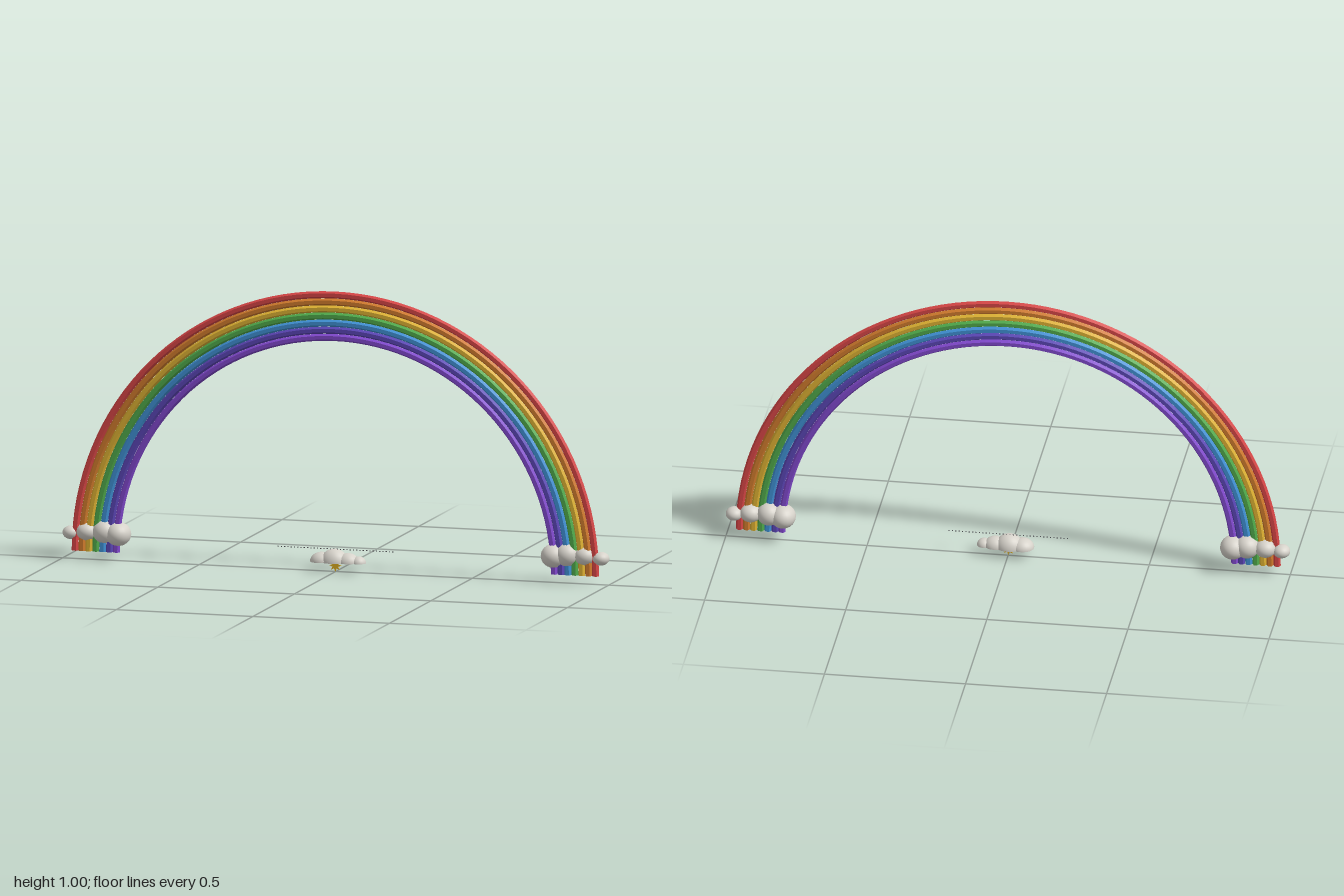
import * as THREE from 'three';

const material = (name, color) => {
  const m = new THREE.MeshStandardMaterial({ color });
  m.name = name;
  return m;
};

export function createModel() {
  const model = new THREE.Group();
  model.name = 'rainbow';

  const bands = [
    ['red', 0xd64545], ['orange', 0xcf7a2c], ['yellow', 0xdcb032], ['green', 0x4fa84a],
    ['blue', 0x3f8fd2], ['indigo', 0x5a45b4], ['violet', 0x8048cc],
  ].map(([name, hex]) => material(name, hex));
  const cloudWhite = material('cloudWhite', 0xd6d2ca);
  const gold = material('gold', 0xd8a820);
  const grey = material('grey', 0x55555a);

  const add = (parent, name, geometry, mat, x = 0, y = 0, z = 0) => {
    const mesh = new THREE.Mesh(geometry, mat);
    mesh.name = name;
    mesh.position.set(x, y, z);
    parent.add(mesh);
    return mesh;
  };

  // Seven hexagonal half hoops, each closed at both feet
  const tube = 0.0125;
  bands.forEach((mat, i) => {
    const radius = 0.953 - i * 0.0252;
    const band = new THREE.Group();
    band.name = mat.name + 'Band';
    const hoop = new THREE.TorusGeometry(radius, tube, 6, 64, Math.PI).toNonIndexed();
    hoop.computeVertexNormals(); // one normal per facet
    add(band, 'hoop', hoop, mat, 0, 0.03, 0.005);
    for (const side of [-1, 1]) {
      const cap = add(band, 'footCap', new THREE.CircleGeometry(tube, 6), mat, side * radius, 0.03, 0.005);
      cap.rotation.x = Math.PI / 2;
    }
    model.add(band);
  });

  // Clouds at the feet: x, y, then radii along x, y, z
  const footPuffs = [
    [0.797, 0.094, 0.045, 0.042, 0.05],
    [0.847, 0.1, 0.043, 0.041, 0.044],
    [0.912, 0.098, 0.038, 0.032, 0.037],
    [0.97, 0.092, 0.03, 0.024, 0.031],
  ];
  for (const side of [-1, 1]) {
    const cloud = new THREE.Group();
    cloud.name = side > 0 ? 'leftCloud' : 'rightCloud';
    for (const [x, y, rx, ry, rz] of footPuffs) {
      add(cloud, 'puff', new THREE.SphereGeometry(1, 24, 16).scale(rx, ry, rz), cloudWhite, side * x, y, -0.003);
    }
    model.add(cloud);
  }

  // Small flat-bottomed cloud in the middle: x, radii along x, y, z
  const middleCloud = new THREE.Group();
  middleCloud.name = 'middleCloud';
  const domes = [
    [-0.05, 0.042, 0.034, 0.04],
    [-0.004, 0.05, 0.047, 0.044],
    [0.046, 0.04, 0.034, 0.036],
    [0.085, 0.026, 0.024, 0.027],
  ];
  for (const [x, rx, ry, rz] of domes) {
    const dome = new THREE.SphereGeometry(1, 24, 8, 0, Math.PI * 2, 0, Math.PI / 2).scale(rx, ry, rz);
    add(middleCloud, 'dome', dome, cloudWhite, x, 0.034, 0.003);
    const base = new THREE.CircleGeometry(1, 24).rotateX(Math.PI / 2).scale(rx, 1, rz);
    add(middleCloud, 'domeBase', base, cloudWhite, x, 0.034, 0.003);
  }
  model.add(middleCloud);

  // Thin gold star peeking out under the middle cloud
  const star = new THREE.Shape();
  for (let i = 0; i < 16; i++) {
    const r = i % 2 ? 0.011 : 0.022;
    const a = (i / 16) * Math.PI * 2;
    star[i ? 'lineTo' : 'moveTo'](r * Math.cos(a), r * Math.sin(a));
  }
  star.closePath();
  const starGeometry = new THREE.ExtrudeGeometry(star, { depth: 0.003, bevelEnabled: false });
  add(model, 'star', starGeometry, gold, 0, 0.022, 0.003);

  // Row of tiny beads above the middle cloud
  const beads = new THREE.Group();
  beads.name = 'beadRow';
  const beadGeometry = new THREE.BoxGeometry(0.004, 0.003, 0.002);
  for (let i = 0; i < 36; i++) {
    add(beads, 'bead', beadGeometry, grey, -0.21 + i * 0.012, 0.08, 0.003);
  }
  model.add(beads);

  return model;
}
